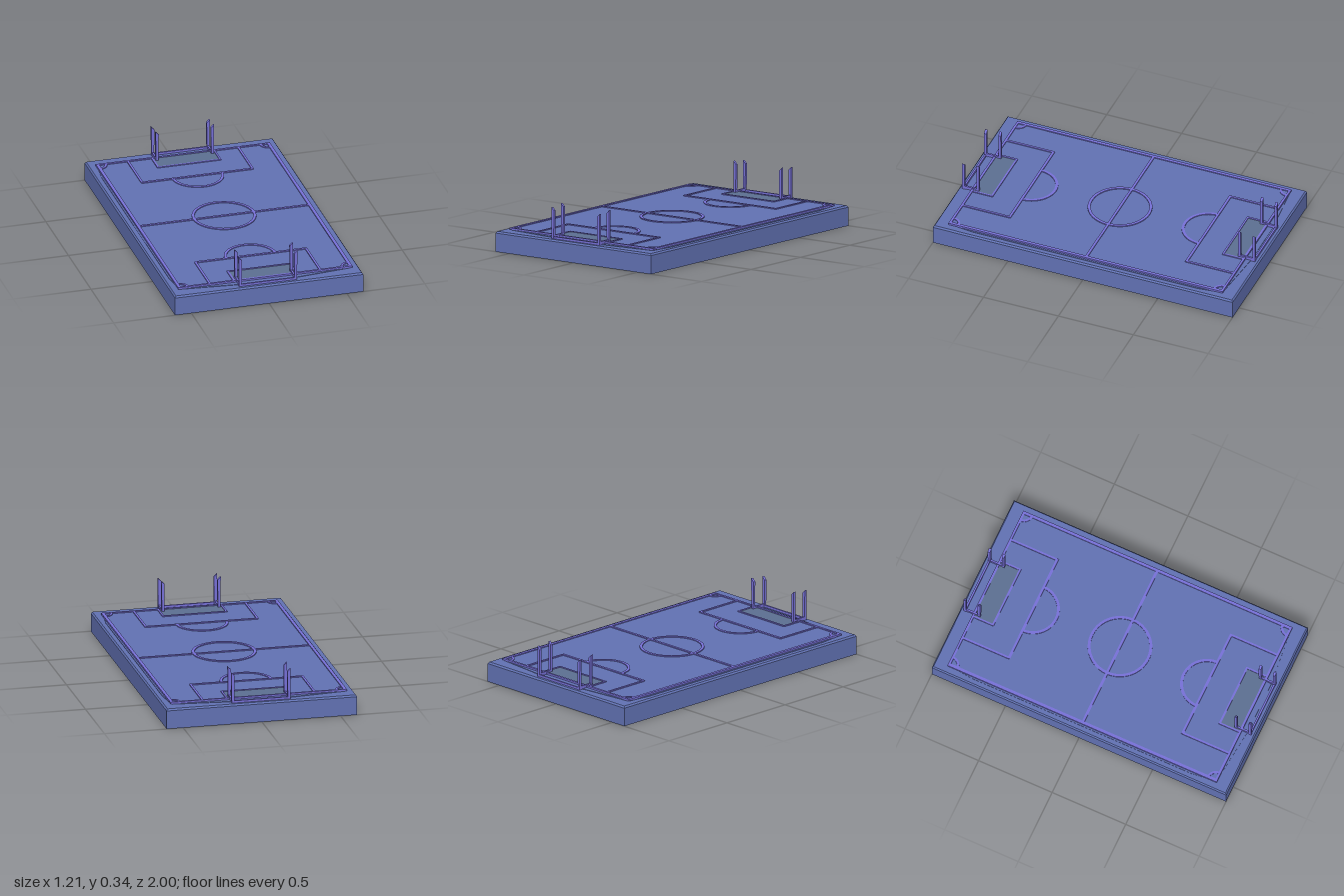
import * as THREE from 'three';

const mat = (name, color) => Object.assign(new THREE.MeshStandardMaterial({ color }), { name });

export function createModel() {
  const model = new THREE.Group();
  model.name = 'footballPitch';
  const blue = mat('slate blue', 0x6272b4);
  const violet = mat('line violet', 0x7771d8);
  const grey = mat('goal area grey', 0x5d7092);

  const add = (parent, name, geometry, material) => {
    const mesh = new THREE.Mesh(geometry, material);
    mesh.name = name;
    parent.add(mesh);
    return mesh;
  };
  // Box given by its limits on each axis
  const box = (parent, name, material, x0, x1, y0, y1, z0, z1) =>
    add(parent, name, new THREE.BoxGeometry(x1 - x0, y1 - y0, z1 - z0), material)
      .position.set((x0 + x1) / 2, (y0 + y1) / 2, (z0 + z1) / 2);
  // Shape in the ground plane, raised from y0 to y1
  const raise = (shape, y0, y1) =>
    new THREE.ExtrudeGeometry(shape, { depth: y1 - y0, bevelEnabled: false, curveSegments: 20 })
      .rotateX(-Math.PI / 2).translate(0, y0, 0);
  const line = (parent, name, x0, x1, z0, z1) =>
    box(parent, name, violet, x0, x1, 0.132, 0.143, z0, z1);

  // Slab with a narrow chamfer round the top
  let slab = new THREE.BoxGeometry(1.21, 0.128, 2, 1, 2, 1);
  const p = slab.attributes.position;
  for (let i = 0; i < p.count; i++) {
    const y = p.getY(i);
    if (y > 0.01) p.setXYZ(i, p.getX(i) * 0.987, 0.128, p.getZ(i) * 0.992);
    else p.setY(i, y < -0.01 ? 0 : 0.117);
  }
  slab = slab.toNonIndexed();
  slab.computeVertexNormals();
  add(model, 'baseSlab', slab, blue);

  // Grass, with slightly bowed edges
  const outline = [[0.55, 0.91], [0.17, 0.95], [-0.17, 0.95], [-0.55, 0.91], [-0.57, 0.75], [-0.57, -0.75],
    [-0.55, -0.91], [-0.17, -0.95], [0.17, -0.95], [0.55, -0.91], [0.57, -0.75], [0.57, 0.75]];
  add(model, 'apron', raise(new THREE.Shape(outline.map(([x, y]) => new THREE.Vector2(x, y))), 0.127, 0.131), blue);
  box(model, 'grass', blue, -0.545, 0.545, 0.128, 0.137, -0.905, 0.905);

  // Halfway line, touchlines and centre circle
  line(model, 'halfwayLine', -0.55, 0.55, -0.008, 0.008);
  for (const s of [-1, 1]) line(model, 'touchline', s * 0.55 - 0.01, s * 0.55 + 0.01, -0.915, 0.915);
  const ring = new THREE.Shape().absarc(0, 0, 0.2, 0, Math.PI * 2);
  ring.holes.push(new THREE.Path().absarc(0, 0, 0.182, 0, Math.PI * 2));
  add(model, 'centreCircle', raise(ring, 0.132, 0.143), violet);

  // Both ends are alike, turned half round
  for (const turn of [0, Math.PI]) {
    const end = new THREE.Group();
    end.name = turn ? 'backEnd' : 'frontEnd';
    end.rotation.y = turn;
    model.add(end);

    line(end, 'goalLine', -0.55, 0.55, 0.9, 0.915);
    line(end, 'penaltyAreaLine', -0.36, 0.36, 0.582, 0.598);
    line(end, 'goalAreaLine', -0.205, 0.205, 0.765, 0.777);
    for (const s of [-1, 1]) {
      line(end, 'penaltyAreaSide', s * 0.355 - 0.007, s * 0.355 + 0.007, 0.59, 0.91);
      line(end, 'goalAreaSide', s * 0.2 - 0.006, s * 0.2 + 0.006, 0.77, 0.91);
    }
    box(end, 'goalAreaFloor', grey, -0.195, 0.195, 0.134, 0.139, 0.777, 0.9);

    // Half-ring in front of the penalty area
    const arc = new THREE.Shape().absarc(0, 0, 0.165, 0, Math.PI, false).absarc(0, 0, 0.147, Math.PI, 0, true);
    arc.closePath();
    add(end, 'penaltyArc', raise(arc, 0.132, 0.142), violet).position.z = 0.59;

    // Corner quarter-rings
    for (const s of [-1, 1]) {
      const a = s > 0 ? Math.PI / 2 : 0;
      const corner = new THREE.Shape().absarc(0, 0, 0.06, a, a + Math.PI / 2, false)
        .absarc(0, 0, 0.045, a + Math.PI / 2, a, true);
      corner.closePath();
      add(end, 'cornerArc', raise(corner, 0.132, 0.142), violet).position.set(s * 0.55, 0, 0.905);
    }

    // Goal: four posts with slanted tops, joined by a frame on the ground
    const goal = new THREE.Group();
    goal.name = 'goal';
    end.add(goal);
    for (const s of [-1, 1]) {
      for (const [z, top] of [[0.873, 0.335], [0.969, 0.325]]) {
        const post = new THREE.Shape([[-0.008, 0.128], [0.008, 0.128], [0.01, top - (s < 0 ? 0.02 : 0)],
          [-0.01, top - (s > 0 ? 0.02 : 0)]].map(([x, y]) => new THREE.Vector2(x, y)));
        const geometry = new THREE.ExtrudeGeometry(post, { depth: 0.016, bevelEnabled: false });
        add(goal, 'goalPost', geometry, violet).position.set(s * 0.178, 0, z - 0.008);
      }
      box(goal, 'goalSideBar', violet, s * 0.178 - 0.006, s * 0.178 + 0.006, 0.128, 0.15, 0.873, 0.969);
    }
    box(goal, 'goalBackBar', violet, -0.178, 0.178, 0.128, 0.142, 0.963, 0.975);
  }
  return model;
}
